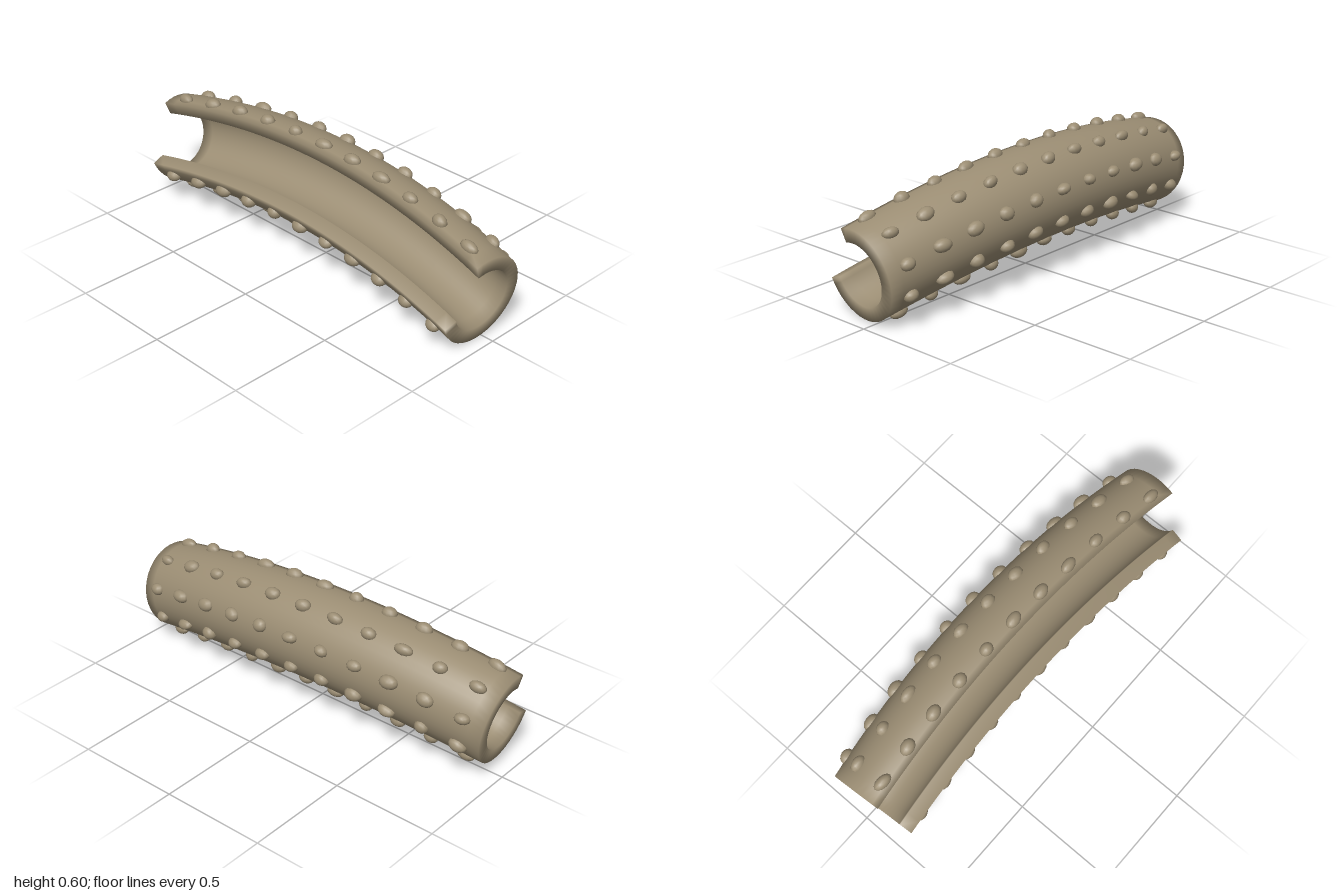
import * as THREE from 'three';

const DEG = Math.PI / 180;
const OUTER = 0.222, INNER = 0.155;
const START = 70 * DEG, END = 341 * DEG; // the gap between END and START faces forward
const ARC = 32, STEPS = 32;

// Point on the bowed tube: t runs -1..1 along it, a is the angle from +z towards +y
function tubePoint(t, a, radius) {
  const r = radius * (1 - 0.06 * t * t); // slimmer towards the ends
  const dy = r * Math.sin(a), dz = r * Math.cos(a);
  const lean = 0.15 * t * dy - 0.07 * t * dz; // cross-sections fan out with the bow
  return new THREE.Vector3(
    0.97 * t + lean,
    0.345 - 0.025 * t - 0.105 * t * t + dy,
    -0.013 + 0.005 * t + 0.06 * t * t + dz
  );
}

// C-shaped section swept along the bow, closed at both ends
function shellGeometry() {
  const positions = [], index = [];
  const ring = 2 * (ARC + 1);
  for (let i = 0; i <= STEPS; i++) {
    const t = (2 * i) / STEPS - 1;
    for (let j = 0; j < ring; j++) {
      const outside = j <= ARC;
      const k = outside ? j : ring - 1 - j;
      const a = START + ((END - START) * k) / ARC;
      positions.push(...tubePoint(t, a, outside ? OUTER : INNER).toArray());
    }
  }
  for (let i = 0; i < STEPS; i++) {
    for (let j = 0; j < ring; j++) {
      const n = (j + 1) % ring;
      const a = i * ring + j, c = i * ring + n;
      index.push(a, a + ring, c, a + ring, c + ring, c);
    }
  }
  const last = STEPS * ring;
  for (let j = 0; j < ARC; j++) {
    const o = j, p = j + 1, q = ring - 1 - j, s = ring - 2 - j;
    index.push(o, p, q, p, s, q);
    index.push(last + o, last + q, last + p, last + p, last + q, last + s);
  }
  const g = new THREE.BufferGeometry();
  g.setAttribute('position', new THREE.Float32BufferAttribute(positions, 3));
  g.setIndex(index);
  g.computeVertexNormals();
  return g;
}

export function createModel() {
  const model = new THREE.Group();
  model.name = 'studdedSleeve';
  const tan = new THREE.MeshStandardMaterial({ color: 0x9c8e74 });
  tan.name = 'tan';

  const shell = new THREE.Mesh(shellGeometry(), tan);
  shell.name = 'shell';
  model.add(shell);

  // Seven rows of eleven oval studs
  let seed = 7;
  const rand = () => (seed = (seed * 16807) % 2147483647) / 2147483647;
  const studGeometry = new THREE.SphereGeometry(1, 12, 8);
  for (let row = 0; row < 7; row++) {
    const studs = new THREE.Group();
    studs.name = 'studRow' + (row + 1);
    const a = (83 + 40 * row) * DEG;
    for (let i = -5; i <= 5; i++) {
      const t = i * 0.18;
      const stud = new THREE.Mesh(studGeometry, tan);
      stud.name = 'stud';
      stud.position.copy(tubePoint(t, a, OUTER));
      const along = tubePoint(t + 0.01, a, OUTER).sub(tubePoint(t - 0.01, a, OUTER)).normalize();
      const around = tubePoint(t, a - 0.01, OUTER).sub(tubePoint(t, a + 0.01, OUTER)).normalize();
      const out = new THREE.Vector3().crossVectors(around, along).normalize();
      around.crossVectors(along, out);
      stud.quaternion.setFromRotationMatrix(new THREE.Matrix4().makeBasis(along, out, around));
      stud.rotateY((rand() - 0.5) * 0.4);
      stud.scale.set(0.034 + 0.013 * rand(), 0.027 + 0.006 * rand(), 0.024 + 0.009 * rand());
      studs.add(stud);
    }
    model.add(studs);
  }
  return model;
}
